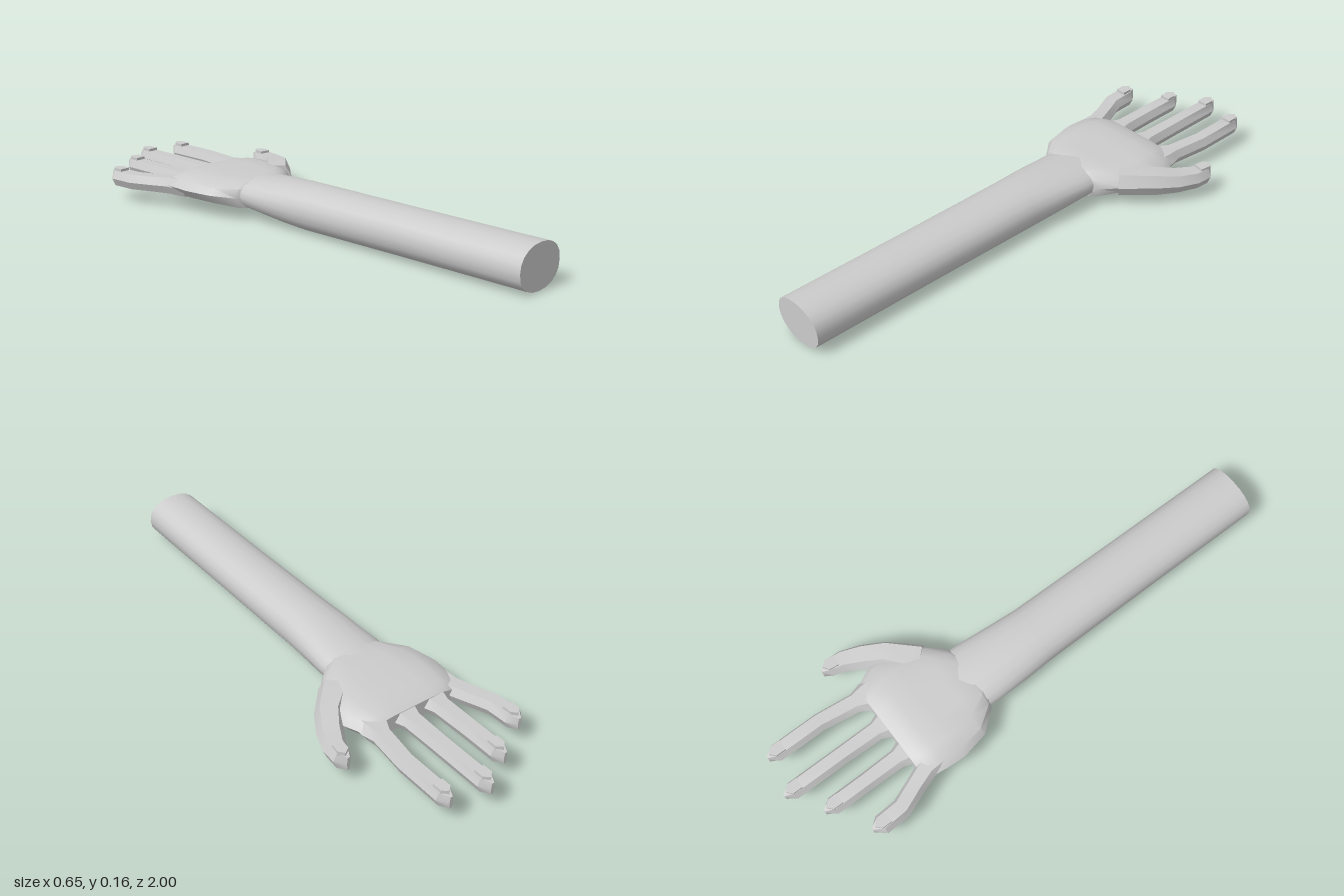
import * as THREE from 'three';
import { toCreasedNormals } from 'three/addons/utils/BufferGeometryUtils.js';

const material = new THREE.MeshStandardMaterial({ color: 0xcccccc });

// Skin a list of rings (counter-clockwise seen from the start) and close both ends.
function loft(rings, crease) {
  const n = rings[0].length, pos = [], idx = [];
  rings.forEach(r => r.forEach(p => pos.push(...p)));
  for (let r = 0; r < rings.length - 1; r++) {
    for (let i = 0; i < n; i++) {
      const a = r * n + i, b = r * n + (i + 1) % n, c = a + n, d = b + n;
      idx.push(a, c, b, b, c, d);
    }
  }
  const end = (rings.length - 1) * n;
  for (let i = 1; i < n - 1; i++) {
    idx.push(0, i, i + 1);
    idx.push(end, end + i + 1, end + i);
  }
  const g = new THREE.BufferGeometry();
  g.setAttribute('position', new THREE.Float32BufferAttribute(pos, 3));
  g.setIndex(idx);
  return toCreasedNormals(g, crease);
}

function add(group, name, geometry) {
  const mesh = new THREE.Mesh(geometry, material);
  mesh.name = name;
  group.add(mesh);
  return mesh;
}

// Cross-sections along z: [z, xMin, xMax, yMin, yMax], shaped by a unit profile.
const sweepZ = (sections, profile) => sections.map(([z, x0, x1, y0, y1]) =>
  profile.map(([u, v]) => [
    (x0 + x1) / 2 + u * (x1 - x0) / 2, (y0 + y1) / 2 + v * (y1 - y0) / 2, z]));

// Slightly squared oval for the forearm
const oval = Array.from({ length: 20 }, (_, i) => {
  const t = i / 20 * Math.PI * 2, c = Math.cos(t), s = Math.sin(t);
  return [Math.sign(c) * Math.abs(c) ** 0.92, Math.sign(s) * Math.abs(s) ** 0.88];
});

// Flat underside, ridged edges and a gently domed back for the palm
const palmProfile = [
  [1, -0.1], [0.9, 0.5], [0.65, 0.9], [0.35, 1], [0, 1], [-0.35, 1], [-0.65, 0.9],
  [-0.9, 0.5], [-1, -0.1], [-0.88, -0.85], [-0.5, -1], [0.5, -1], [0.88, -0.85]];

const hex = [[1, 0], [0.62, 1], [-0.62, 1], [-1, 0], [-0.62, -1], [0.62, -1]];

// Six-sided finger along path points [x, z, halfWidth, yMin, yMax]
function fingerGeometry(path) {
  const rings = path.map(([x, z, w, y0, y1], i) => {
    const p = path[Math.max(i - 1, 0)], q = path[Math.min(i + 1, path.length - 1)];
    const len = Math.hypot(q[0] - p[0], q[1] - p[1]);
    const tx = (q[0] - p[0]) / len, tz = (q[1] - p[1]) / len;
    return hex.map(([u, v]) => [
      x - tz * u * w, (y0 + y1) / 2 + v * (y1 - y0) / 2, z + tx * u * w]);
  });
  return loft(rings, 0.6);
}

// Pointed fingernail slab, tip towards -z
const nailShape = new THREE.Shape([
  [-0.02, -0.028], [0.02, -0.028], [0.02, 0.01], [0, 0.028], [-0.02, 0.01],
].map(p => new THREE.Vector2(...p)));
const nailGeometry = new THREE.ExtrudeGeometry(nailShape, { depth: 0.02, bevelEnabled: false });
nailGeometry.rotateX(-Math.PI / 2);

// Straight finger from knuckle to tip, flared where it joins the palm
const straight = (x0, x1, tip, flare) => [
  [x0, -0.48, flare, 0.062, 0.125],
  [x0, -0.565, flare, 0.06, 0.122],
  [x0 + (x1 - x0) * 0.3, -0.61, 0.037, 0.06, 0.118],
  [x1, -0.75, 0.034, 0.06, 0.118],
  [x1, tip + 0.035, 0.034, 0.06, 0.118],
  [x1, tip, 0.007, 0.066, 0.112]];

const fingers = {
  littleFinger: [
    [-0.215, -0.46, 0.045, 0.062, 0.125],
    [-0.223, -0.55, 0.04, 0.06, 0.122],
    [-0.25, -0.62, 0.037, 0.06, 0.118],
    [-0.283, -0.7, 0.038, 0.06, 0.118],
    [-0.288, -0.79, 0.038, 0.06, 0.118],
    [-0.285, -0.825, 0.007, 0.066, 0.112]],
  ringFinger: straight(-0.13, -0.132, -0.92, 0.056),
  middleFinger: straight(-0.004, -0.002, -1, 0.058),
  indexFinger: straight(0.118, 0.145, -0.97, 0.058),
  thumb: [
    [0.11, -0.33, 0.06, 0.05, 0.14],
    [0.207, -0.42, 0.05, 0.052, 0.138],
    [0.253, -0.49, 0.047, 0.052, 0.124],
    [0.284, -0.555, 0.041, 0.052, 0.118],
    [0.292, -0.605, 0.034, 0.052, 0.116],
    [0.29, -0.637, 0.007, 0.058, 0.11]],
};

export function createModel() {
  const model = new THREE.Group();
  model.name = 'armAndHand';

  // Forearm tapering into the wrist
  add(model, 'forearm', loft(sweepZ([
    [1, -0.165, 0.052, 0.003, 0.165],
    [0.5, -0.165, 0.054, 0.003, 0.165],
    [0.05, -0.168, 0.058, 0.002, 0.166],
    [-0.05, -0.174, 0.066, 0.01, 0.163],
    [-0.2, -0.178, 0.08, 0.028, 0.153],
    [-0.26, -0.172, 0.08, 0.038, 0.147],
    [-0.34, -0.15, 0.07, 0.062, 0.138]], oval), 0.7));

  // Palm, broadest at the thumb joint
  add(model, 'palm', loft(sweepZ([
    [-0.222, -0.165, 0.075, 0.04, 0.14],
    [-0.24, -0.19, 0.1, 0.04, 0.146],
    [-0.315, -0.25, 0.17, 0.056, 0.145],
    [-0.42, -0.272, 0.205, 0.06, 0.147],
    [-0.495, -0.267, 0.203, 0.06, 0.146],
    [-0.545, -0.258, 0.178, 0.06, 0.138],
    [-0.577, -0.235, 0.168, 0.062, 0.124]], palmProfile), 0.7));

  // Fingers, each with a nail just behind its tip
  for (const [name, path] of Object.entries(fingers)) {
    const finger = new THREE.Group();
    finger.name = name;
    add(finger, name + 'Flesh', fingerGeometry(path));
    const nail = add(finger, name + 'Nail', nailGeometry);
    const [x, z, , , top] = path[path.length - 2];
    nail.position.set(x, top - 0.01, z + 0.005);
    if (name === 'thumb') nail.rotation.y = -0.15;
    model.add(finger);
  }
  return model;
}
